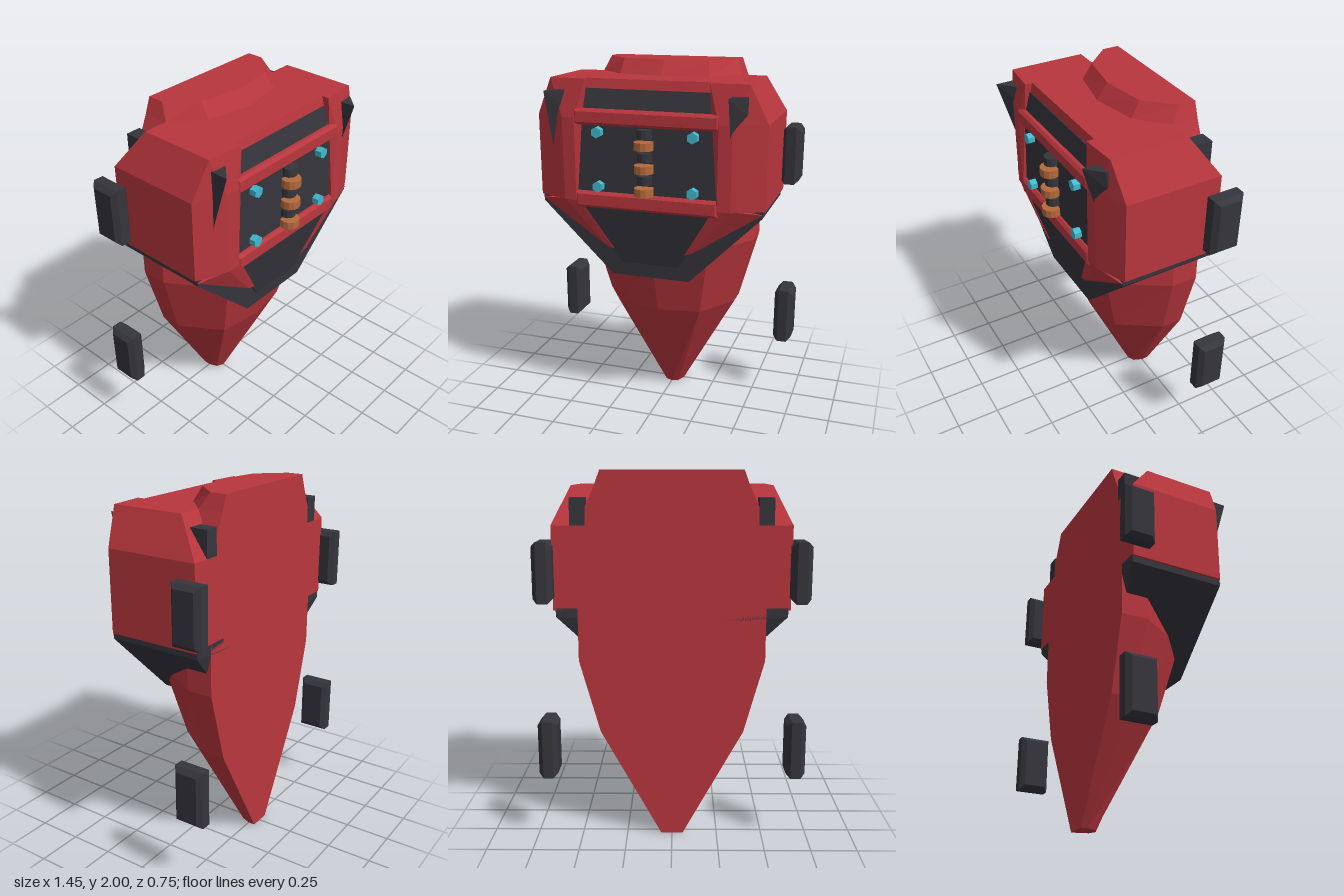
import * as THREE from 'three';
import { ConvexGeometry } from 'three/addons/geometries/ConvexGeometry.js';

const paint = (name, color) => {
  const m = new THREE.MeshStandardMaterial({ color, flatShading: true });
  m.name = name;
  return m;
};

// Loft of closed rings stacked upwards, with flat caps
function loft(rings) {
  const n = rings[0].length, pos = [];
  const tri = (...pts) => pts.forEach((p) => pos.push(...p));
  for (let i = 0; i < rings.length - 1; i++) {
    for (let j = 0; j < n; j++) {
      const k = (j + 1) % n, lo = rings[i], hi = rings[i + 1];
      tri(lo[j], hi[j], lo[k]);
      tri(lo[k], hi[j], hi[k]);
    }
  }
  const bottom = rings[0], top = rings[rings.length - 1];
  for (let j = 1; j < n - 1; j++) {
    tri(bottom[0], bottom[j], bottom[j + 1]);
    tri(top[0], top[j + 1], top[j]);
  }
  const g = new THREE.BufferGeometry();
  g.setAttribute('position', new THREE.Float32BufferAttribute(pos, 3));
  g.computeVertexNormals();
  return g;
}

// Faceted solid around corner points; mirrored ones get both signs of x
const solid = (pts) => new ConvexGeometry(pts.map((p) => new THREE.Vector3(...p)));
const bothSides = (pts) => pts.flatMap(([x, y, z]) => [[x, y, z], [-x, y, z]]);

// Box with its edges chamfered towards both ends of its depth
function chamferBox(w, h, d, c) {
  const s = new THREE.Shape();
  const x = w / 2 - c, y = h / 2 - c;
  s.moveTo(-x, -y).lineTo(x, -y).lineTo(x, y).lineTo(-x, y).closePath();
  const g = new THREE.ExtrudeGeometry(s, {
    depth: d - 2 * c, bevelEnabled: true, bevelSize: c, bevelThickness: c, bevelSegments: 1,
  });
  return g.translate(0, 0, c - d / 2);
}

export function createModel() {
  const model = new THREE.Group();
  model.name = 'armouredPack';
  const red = paint('red armour', 0xb8363d);
  const dark = paint('dark metal', 0x35353c);
  const cyan = paint('cyan studs', 0x40b9cd);
  const copper = paint('copper rings', 0xb5693a);
  const add = (name, geo, mat, x = 0, y = 0, z = 0) => {
    const m = new THREE.Mesh(geo, mat);
    m.name = name;
    m.position.set(x, y, z);
    model.add(m);
    return m;
  };
  const back = -0.29;

  // Tapering hull: height, half width, its z, ridge x, ridge z, centre z
  const hull = [
    [0, 0.06, -0.25, 0.04, -0.2, -0.18],
    [0.6, 0.39, -0.17, 0.24, 0.06, 0.1],
    [1.0, 0.5, -0.14, 0.31, 0.16, 0.21],
    [1.7, 0.5, -0.14, 0.31, 0.16, 0.21],
    [1.92, 0.4, -0.15, 0.25, -0.01, 0.04],
    [2.0, 0.37, -0.2, 0.24, -0.06, -0.02],
  ].map(([y, w, zs, r, zr, zc]) => [
    [w, y, back], [w, y, zs], [r, y, zr], [0, y, zc],
    [-r, y, zr], [-w, y, zs], [-w, y, back],
  ]);
  add('hull', loft(hull), red);

  // Centre block between the shoulder pods
  add('centreBlock', solid(bothSides([
    [0.39, 1.92, 0.24], [0.39, 1.75, 0.28], [0.39, 1.26, 0.28],
    [0.39, 1.26, back], [0.39, 1.72, back], [0.39, 1.92, -0.15],
  ])), red);
  add('upperVent', solid(bothSides([
    [0.345, 1.87, 0.257], [0.38, 1.765, 0.281], [0.345, 1.87, 0.249], [0.38, 1.765, 0.273],
  ])), dark);
  add('frontPanel', new THREE.BoxGeometry(0.78, 0.38, 0.009), dark, 0, 1.51, 0.284);
  add('upperBar', chamferBox(0.79, 0.085, 0.06, 0.015), red, 0, 1.727, 0.284);
  add('lowerBar', chamferBox(0.79, 0.09, 0.06, 0.015), red, 0, 1.283, 0.284);

  // Dark belly under the pods, with a sloping chest plate
  add('belly', solid(bothSides([
    [0.615, 1.285, 0.24], [0.615, 1.24, 0.24], [0.22, 0.84, 0.22],
    [0.615, 1.24, -0.2], [0.22, 0.84, -0.2],
    [0.615, 1.285, back], [0.615, 1.24, back], [0.4, 1.22, back],
  ])), dark);
  add('chestPlate', solid(bothSides([
    [0.375, 1.26, 0.303], [0.16, 0.92, 0.233], [0.375, 1.26, 0.1], [0.16, 0.92, 0.1],
  ])), dark);

  for (const s of [1, -1]) {
    const side = s > 0 ? 'left' : 'right';
    const flip = (pts) => pts.map(([x, y, z]) => [s * x, y, z]);

    // Shoulder pod and the wedge running down beside the chest
    add(side + 'Pod', solid(flip([
      [0.335, 1.92, 0.28], [0.535, 1.92, 0.265], [0.535, 1.92, -0.15], [0.335, 1.92, -0.15],
      [0.39, 1.72, 0.31], [0.46, 1.72, 0.305], [0.628, 1.72, 0.235],
      [0.628, 1.72, back], [0.37, 1.72, back],
      [0.39, 1.275, 0.31], [0.46, 1.275, 0.305], [0.628, 1.275, 0.235],
      [0.628, 1.275, back], [0.39, 1.275, back],
    ])), red);
    const wedge = [[0.37, 1.28, 0.309], [0.46, 1.28, 0.304], [0.615, 1.26, 0.246],
      [0.25, 1.02, 0.256], [0.2, 1.0, 0.253]];
    add(side + 'Wedge', solid(flip([...wedge, ...wedge.map(([x, y]) => [x, y, 0.1])])), red);

    // Pointed fin on the pod, the same way round on both sides
    const a = s * 0.49 - 0.04, b = a + 0.08;
    add(side + 'Fin', solid([
      [a, 1.86, 0.365], [a, 1.86, 0.22], [b, 1.86, 0.285], [b, 1.86, 0.22],
      [b, 1.76, 0.27], [a, 1.52, 0.265], [a, 1.52, 0.22],
    ]), dark);

    // Block on the rear slope of the pod
    add(side + 'RearBlock', new THREE.BoxGeometry(0.08, 0.14, 0.095), dark, s * 0.49, 1.79, -0.243);

    // Free-standing side pads, upper and lower
    for (const [level, y] of [['Upper', 1.48], ['Lower', 0.52]]) {
      const pad = add(side + level + 'Pad', chamferBox(0.17, 0.32, 0.105, 0.025), dark, s * 0.672, y, -0.29);
      pad.rotation.y = Math.PI / 2;
    }

    // Hexagonal studs
    for (const y of [1.65, 1.36]) {
      const stud = add(side + 'Stud', new THREE.CylinderGeometry(0.03, 0.03, 0.045, 6), cyan, s * 0.26, y, 0.304);
      stud.rotation.x = Math.PI / 2;
    }
  }

  // Central column of alternating dark and copper rings
  for (let i = 0; i < 3; i++) {
    const y = 1.655 - i * 0.121;
    add('spineCore', new THREE.CylinderGeometry(0.04, 0.04, 0.045, 12), dark, 0, y, 0.306);
    add('spineRing', new THREE.CylinderGeometry(0.052, 0.052, 0.043, 12), copper, 0, y - 0.06, 0.318);
  }
  return model;
}
